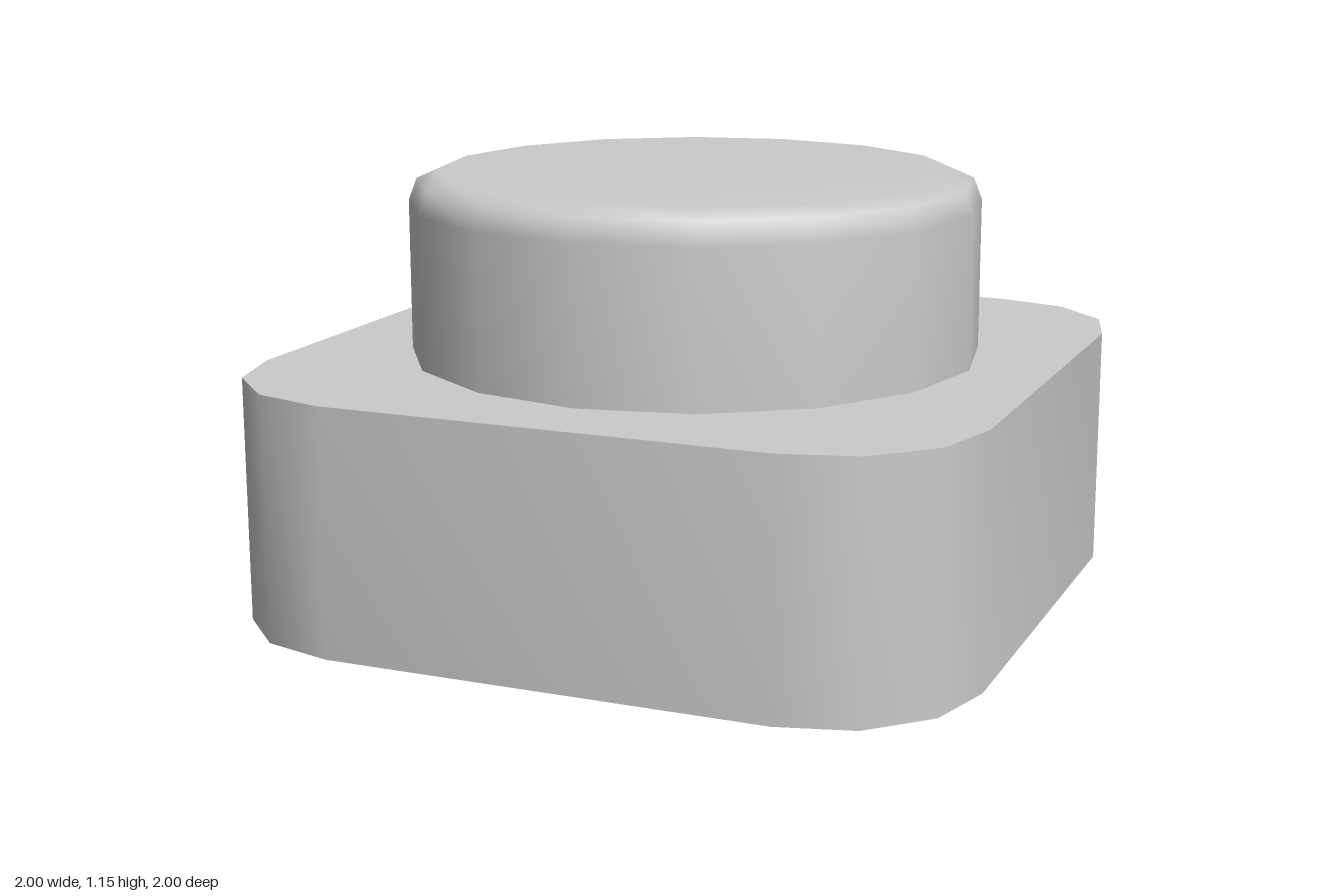
import * as THREE from 'three';
import { toCreasedNormals } from 'three/addons/utils/BufferGeometryUtils.js';

const material = new THREE.MeshStandardMaterial({ color: 0xcccccc });

// Square outline whose corners are arcs of a few straight steps
function roundedSquare(half, radius, steps) {
  const points = [];
  for (let corner = 0; corner < 4; corner++) {
    const start = corner * Math.PI / 2;
    const middle = start + Math.PI / 4;
    const reach = (half - radius) * Math.SQRT2;
    for (let i = 0; i <= steps; i++) {
      const a = start + (i / steps) * Math.PI / 2;
      points.push(new THREE.Vector2(
        reach * Math.cos(middle) + radius * Math.cos(a),
        reach * Math.sin(middle) + radius * Math.sin(a)
      ));
    }
  }
  return new THREE.Shape(points);
}

export function createModel() {
  const model = new THREE.Group();
  model.name = 'pushButton';

  // Square housing with smooth walls and sharp top and bottom edges
  const housing = new THREE.ExtrudeGeometry(roundedSquare(1, 0.4, 3), { depth: 0.66, bevelEnabled: false });
  housing.rotateX(-Math.PI / 2);
  const base = new THREE.Mesh(toCreasedNormals(housing, Math.PI / 4), material);
  base.name = 'base';
  model.add(base);

  // Round cap with a softened rim
  const profile = [[0.78, 0.66], [0.78, 1.07], [0.757, 1.13], [0.7, 1.155], [0, 1.155]]
    .map(([r, y]) => new THREE.Vector2(r, y));
  const cap = new THREE.Mesh(new THREE.LatheGeometry(profile, 16), material);
  cap.name = 'cap';
  model.add(cap);

  return model;
}
